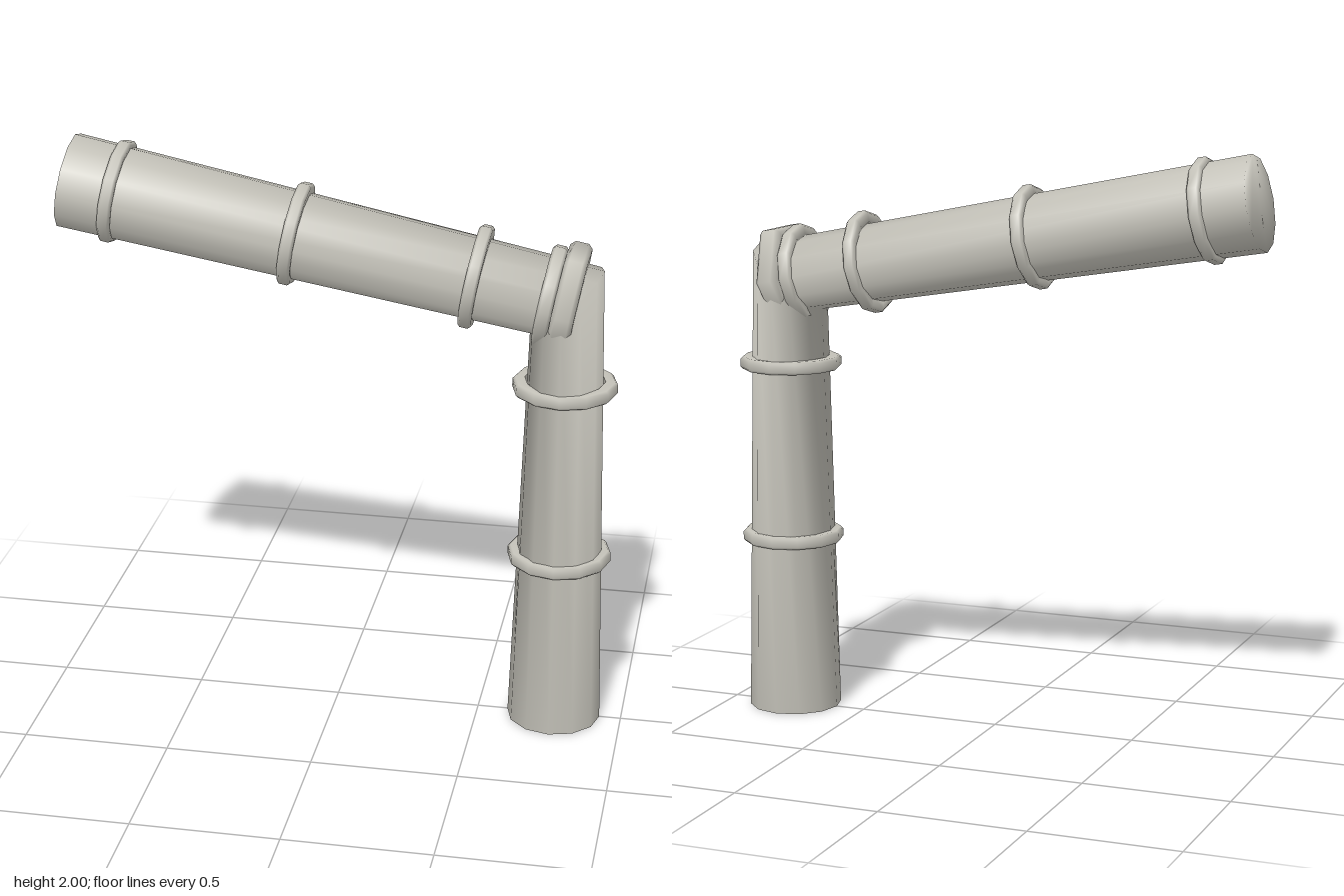
import * as THREE from 'three';

const SIDES = 12;
const ARM_ANGLE = -Math.PI / 2 - 0.178; // turns a ring's y axis onto the sloping arm

// Bent tube swept through rings; each ring is [x, y, angle of its in-plane axis].
function bentTube(rings, radius) {
  const pos = [], idx = [];
  for (const [x, y, angle] of rings) {
    for (let i = 0; i < SIDES; i++) {
      const a = (i / SIDES) * Math.PI * 2;
      const u = Math.cos(a) * radius;
      pos.push(x + u * Math.cos(angle), y + u * Math.sin(angle), Math.sin(a) * radius);
    }
  }
  for (let j = 0; j < rings.length - 1; j++) {
    for (let i = 0; i < SIDES; i++) {
      const k = (i + 1) % SIDES;
      const a = j * SIDES + i, b = j * SIDES + k;
      idx.push(a, b, a + SIDES, b, b + SIDES, a + SIDES);
    }
  }
  // End caps share the rim vertices, so the shading rolls over the ends.
  const last = (rings.length - 1) * SIDES;
  for (let i = 1; i < SIDES - 1; i++) {
    idx.push(0, i + 1, i);
    idx.push(last, last + i, last + i + 1);
  }
  const g = new THREE.BufferGeometry();
  g.setAttribute('position', new THREE.Float32BufferAttribute(pos, 3));
  g.setIndex(idx);
  g.computeVertexNormals();
  return g;
}

// Softly bevelled ring around the y axis.
function ring(inner, outer, width, sides) {
  const h = width / 2, b = width * 0.2;
  const profile = [
    [inner, h], [inner, -h], [outer - b, -h], [outer, -h + b],
    [outer, h - b], [outer - b, h], [inner, h],
  ].map(([x, y]) => new THREE.Vector2(x, y));
  return new THREE.LatheGeometry(profile, sides);
}

export function createModel() {
  const model = new THREE.Group();
  const metal = new THREE.MeshStandardMaterial({ color: 0xc4c2b9 });
  metal.name = 'paleGreyMetal';

  const add = (name, geometry, x = 0, y = 0, turn = 0) => {
    const mesh = new THREE.Mesh(geometry, metal);
    mesh.name = name;
    mesh.position.set(x, y, 0);
    mesh.rotation.z = turn;
    model.add(mesh);
  };

  // Pipe: open arm end, mitred elbow, foot
  add('pipe', bentTube([
    [-0.917, 1.845, Math.PI / 2 - 0.178],
    [0.762, 1.532, 0.74],
    [0.765, 0, 0],
  ], 0.161));

  // Bands around the upright and the arm
  const band = ring(0.135, 0.176, 0.045, SIDES);
  for (const y of [0.617, 1.232]) add('uprightBand', band, 0.765, y);
  for (const [x, y] of [[-0.75, 1.815], [-0.144, 1.705], [0.46, 1.595]]) {
    add('armBand', band, x, y, ARM_ANGLE);
  }

  // Elbow fittings
  add('elbowBand', ring(0.13, 0.171, 0.05, SIDES), 0.705, 1.545, ARM_ANGLE);
  add('elbowCollar', ring(0.14, 0.198, 0.075, 6), 0.766, 1.532, ARM_ANGLE);
  return model;
}
